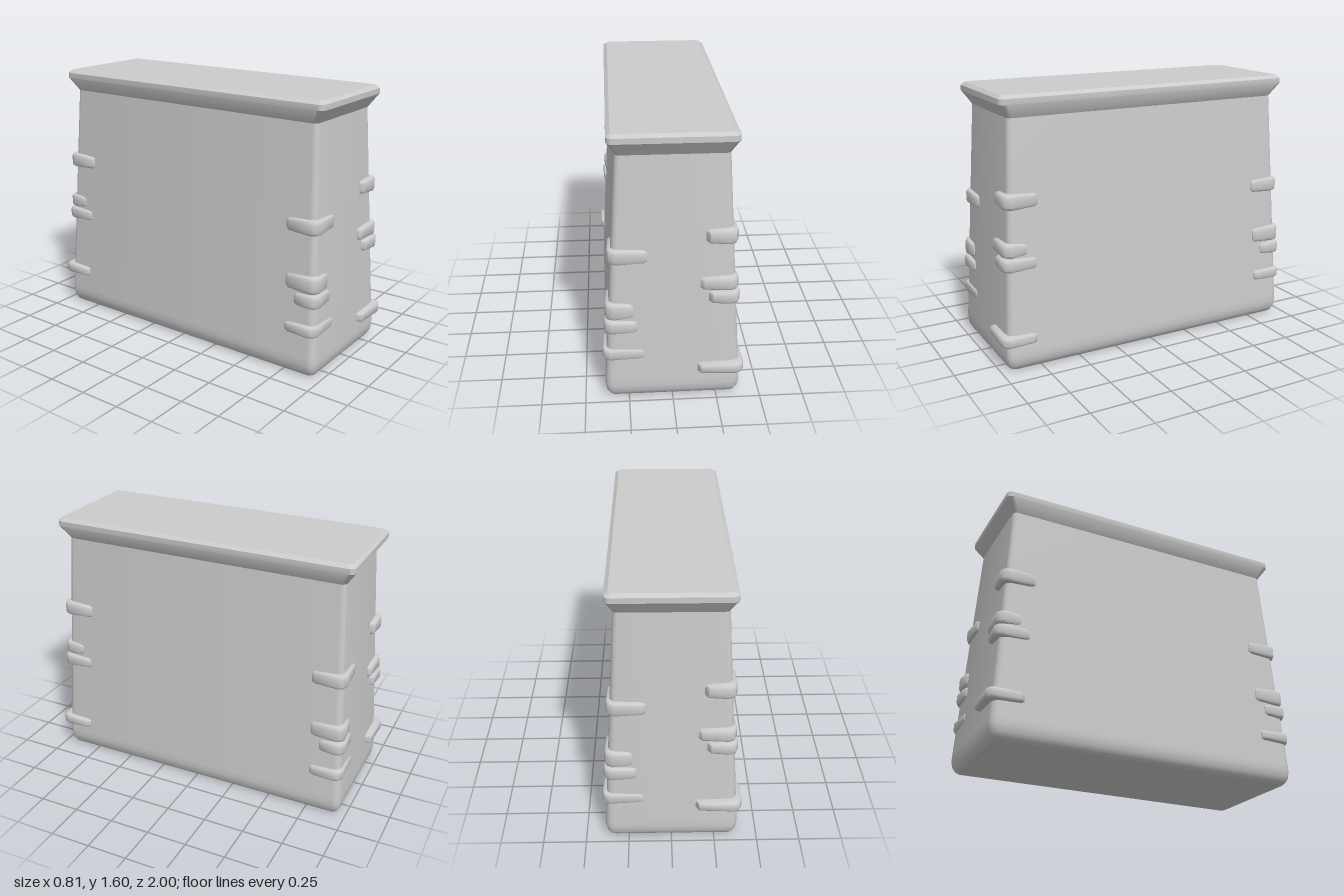
import * as THREE from 'three';
import { toCreasedNormals } from 'three/addons/utils/BufferGeometryUtils.js';

const material = new THREE.MeshStandardMaterial({ color: 0xcccccc });

// Skin a list of equal-length rings and close both ends
function loft(name, rings, crease) {
  const n = rings[0].length, last = (rings.length - 1) * n, index = [];
  for (let r = 0; r < rings.length - 1; r++) {
    for (let i = 0; i < n; i++) {
      const a = r * n + i, b = r * n + (i + 1) % n;
      index.push(a, b, b + n, a, b + n, a + n);
    }
  }
  for (let i = 1; i < n - 1; i++) {
    index.push(0, i + 1, i, last, last + i, last + i + 1);
  }
  const g = new THREE.BufferGeometry();
  g.setAttribute('position', new THREE.Float32BufferAttribute(rings.flat(2), 3));
  g.setIndex(index);
  const mesh = new THREE.Mesh(toCreasedNormals(g, crease), material);
  mesh.name = name;
  return mesh;
}

// Horizontal rounded rectangle with half sizes hx, hz and corner radius r
function roundedRing(y, hx, hz, r, steps = 5) {
  const ring = [];
  for (let q = 0; q < 4; q++) {
    for (let i = 0; i <= steps; i++) {
      const t = (q + i / steps) * Math.PI / 2;
      const sx = q < 2 ? 1 : -1, sz = q === 0 || q === 3 ? 1 : -1;
      ring.push([sx * (hx - r) + r * Math.sin(t), y, sz * (hz - r) + r * Math.cos(t)]);
    }
  }
  return ring;
}

// Half sizes of the tapering wall at height y
const wallX = y => 0.385 - 0.0584 * (y - 0.1);
const wallZ = y => 0.965 - 0.0547 * (y - 0.1);

// L-shaped stone wrapped round the corner (sx, sz)
function cornerStone(sx, sz, [y, h, X, Z, xEnd, zEnd]) {
  const wx = wallX(y), wz = wallZ(y), c = 0.045, d = 0.05;
  // each station: outer x, z, inner x, z, height factor
  const stations = [
    [xEnd, wz + 0.004, xEnd, wz - d, 0.7],
    [xEnd + 0.02, Z - 0.006, xEnd + 0.02, wz - d, 0.85],
    [X - c, Z, wx - d - 0.01, wz - d, 1],
    [X - 0.012, Z - 0.016, wx - d, wz - d, 1],
    [X, Z - c, wx - d, wz - d - 0.01, 1],
    [X - 0.004, zEnd + 0.02, wx - d, zEnd + 0.02, 0.85],
    [wx + 0.004, zEnd, wx - d, zEnd, 0.7],
  ];
  // section: 0 = inside the wall, 1 = outer face
  const section = [[0, 1], [0.75, 1], [0.93, 0.85], [1, 0.55],
    [1, -0.55], [0.93, -0.85], [0.75, -1], [0, -1]];
  const rings = stations.map(([ox, oz, ix, iz, k]) => {
    const ring = section.map(([u, v]) => [
      sx * THREE.MathUtils.lerp(ix, ox, u),
      y + v * h * k,
      sz * THREE.MathUtils.lerp(iz, oz, u),
    ]);
    return sx * sz < 0 ? ring.reverse() : ring;
  });
  return loft('cornerStone', rings, 0.75);
}

export function createModel() {
  const group = new THREE.Group();

  // Tapered body with a softened foot
  group.add(loft('body', [
    roundedRing(0, 0.345, 0.93, 0.03),
    roundedRing(0.012, 0.362, 0.945, 0.035),
    roundedRing(0.04, 0.377, 0.96, 0.04),
    roundedRing(0.08, 0.385, 0.965, 0.045),
    roundedRing(0.12, wallX(0.12), wallZ(0.12), 0.045),
    roundedRing(1.48, wallX(1.48), wallZ(1.48), 0.03),
  ], 0.6));

  // Flared cap with a bevelled rim
  group.add(loft('cap', [
    roundedRing(1.47, 0.306, 0.89, 0.03),
    roundedRing(1.55, 0.346, 0.945, 0.035),
    roundedRing(1.582, 0.346, 0.945, 0.035),
    roundedRing(1.6, 0.323, 0.925, 0.03),
  ], 0.5));

  // Corner stones: height, half height, outer x, outer z, inner x, inner z
  const setA = [
    [1.005, 0.046, 0.355, 0.95, 0.18, 0.74],
    [0.725, 0.043, 0.362, 0.962, 0.15, 0.82],
    [0.64, 0.04, 0.371, 0.97, 0.2, 0.765],
  ];
  const setB = [
    [0.895, 0.046, 0.36, 0.945, 0.14, 0.74],
    [0.565, 0.053, 0.378, 0.962, 0.22, 0.755],
    [0.468, 0.042, 0.385, 0.968, 0.2, 0.815],
    [0.29, 0.036, 0.397, 0.968, 0.165, 0.765],
  ];
  const stones = new THREE.Group();
  stones.name = 'cornerStones';
  for (const s of [1, -1]) {
    const lowest = [s > 0 ? 0.192 : 0.245, 0.035, 0.404, 1, 0.14, 0.785];
    for (const p of [...setA, lowest]) stones.add(cornerStone(s, s, p));
    for (const p of setB) stones.add(cornerStone(-s, s, p));
  }
  group.add(stones);
  return group;
}
